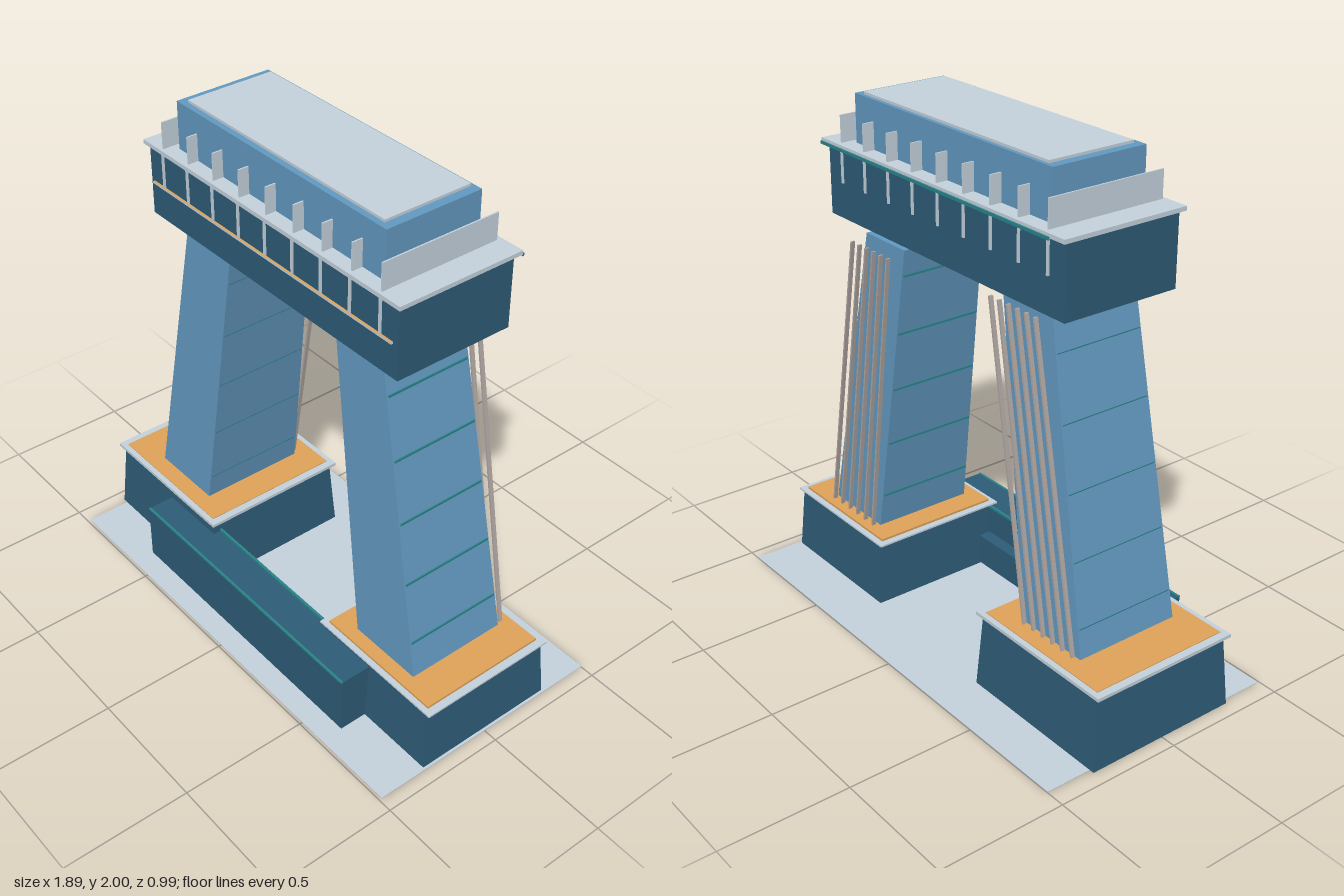
import * as THREE from 'three';

const mat = (name, color) => {
  const m = new THREE.MeshStandardMaterial({ color });
  m.name = name;
  return m;
};

export function createModel() {
  const root = new THREE.Group();
  root.name = 'twinLegTower';
  const blue = mat('steel blue', 0x649bc3);
  const dark = mat('dark slate blue', 0x2f5d78);
  const grey = mat('pale grey', 0xc7d5e0);
  const orange = mat('ochre', 0xe3a55a);
  const teal = mat('teal', 0x2a868c);
  const cableGrey = mat('cable grey', 0xb3aaa6);

  const add = (name, geo, material, parent = root) => {
    const m = new THREE.Mesh(geo, material);
    m.name = name;
    parent.add(m);
    return m;
  };

  // Solid between two level rectangles [x0, x1, z0, z1] at heights y0 and y1
  const loft = (name, y0, low, y1, high, material, parent) => {
    const geo = new THREE.BoxGeometry(1, 1, 1);
    const p = geo.attributes.position;
    for (let i = 0; i < p.count; i++) {
      const top = p.getY(i) > 0;
      const r = top ? high : low;
      p.setXYZ(i, p.getX(i) > 0 ? r[1] : r[0], top ? y1 : y0, p.getZ(i) > 0 ? r[3] : r[2]);
    }
    geo.computeVertexNormals();
    return add(name, geo, material, parent);
  };
  const box = (name, x0, x1, y0, y1, z0, z1, material, parent) =>
    loft(name, y0, [x0, x1, z0, z1], y1, [x0, x1, z0, z1], material, parent);
  const mix = (a, b, t) => a.map((v, i) => v + (b[i] - v) * t);

  // Ground plate and low front wall with a step behind it
  box('groundPlate', -0.925, 0.945, 0.002, 0.005, -0.5, 0.49, grey);
  box('frontWall', -0.595, 0.615, 0, 0.24, 0.25, 0.4, dark);
  box('frontWallStep', -0.58, 0.6, 0, 0.13, 0.2, 0.25, dark);
  box('frontWallBackTrim', -0.595, 0.615, 0.24, 0.25, 0.25, 0.26, teal);
  box('frontWallFrontTrim', -0.595, 0.615, 0.236, 0.243, 0.393, 0.402, teal);

  // Pedestal, leaning leg, seams and cables for each side
  const sides = [
    {
      name: 'right', rimY: 0.292, floorY: 0.305, floorTop: 0.308,
      foot: [-0.945, -0.298, -0.318, 0.308], head: [-0.93, -0.31, -0.295, 0.285],
      rim: [-0.95, -0.29, -0.312, 0.302], floor: [-0.92, -0.32, -0.29, 0.28],
      legLow: [-0.75, -0.44, -0.217, 0.213], legHigh: [-0.525, -0.272, -0.18, 0.18], legTop: 1.525,
      cableLow: [-0.72, -0.46], cableHigh: [-0.5, -0.267], cableTop: 1.49, seam: 0,
    },
    {
      name: 'left', rimY: 0.257, floorY: 0.264, floorTop: 0.273,
      foot: [0.35, 0.935, -0.297, 0.289], head: [0.365, 0.918, -0.28, 0.272],
      rim: [0.345, 0.94, -0.289, 0.28], floor: [0.372, 0.91, -0.265, 0.258],
      legLow: [0.47, 0.775, -0.207, 0.205], legHigh: [0.3, 0.54, -0.176, 0.176], legTop: 1.467,
      cableLow: [0.49, 0.765], cableHigh: [0.33, 0.557], cableTop: 1.44, seam: 0.004,
    },
  ];
  for (const s of sides) {
    const g = new THREE.Group();
    g.name = s.name + 'Support';
    root.add(g);
    loft('pedestal', 0.005, s.foot, s.rimY, s.head, dark, g);
    loft('pedestalRim', s.rimY, s.rim, s.floorY, s.rim, grey, g);
    loft('pedestalFloor', s.floorY, s.floor, s.floorTop, s.floor, orange, g);
    loft('leg', s.floorY, s.legLow, s.legTop, s.legHigh, blue, g);

    // Seams across the inner and outer leg faces
    for (let i = 0; i < 5; i++) {
      const y = 0.412 + i * 0.238;
      const r = mix(s.legLow, s.legHigh, (y - s.floorY) / (s.legTop - s.floorY));
      box('legSeam', r[0] - s.seam, r[1] + s.seam, y - 0.004, y + 0.004, r[2] + 0.006, r[3] - 0.006, teal, g);
    }

    // Row of cables behind the leg
    for (let i = 0; i < 6; i++) {
      const t = i / 5;
      const a = s.cableLow[0] + (s.cableLow[1] - s.cableLow[0]) * t;
      const b = s.cableHigh[0] + (s.cableHigh[1] - s.cableHigh[0]) * t;
      loft('cable', s.floorY, [a - 0.004, a + 0.004, -0.235, -0.219],
        s.cableTop, [b - 0.004, b + 0.004, -0.235, -0.219], cableGrey, g);
    }
  }

  // Bridge body, walkway slab, upper cabin and roof panel
  box('bridgeBody', -0.652, 0.675, 1.52, 1.792, -0.235, 0.24, dark);
  box('walkwaySlab', -0.672, 0.69, 1.792, 1.808, -0.258, 0.253, grey);
  box('walkwayTrim', -0.6, 0.69, 1.786, 1.797, -0.264, -0.258, teal);
  box('upperCabin', -0.535, 0.555, 1.808, 1.99, -0.195, 0.195, blue);
  box('roofPanel', -0.5, 0.52, 1.99, 2, -0.18, 0.172, grey);

  // Thin front ledge with a painted top
  box('frontLedge', -0.635, 0.65, 1.649, 1.656, 0.24, 0.249, [grey, grey, orange, orange, grey, grey]);

  // Fins on the walkway, with ribs on the body below; the end fins run full depth
  for (let i = 0; i < 9; i++) {
    const x = -0.57 + i * 0.145;
    const h = 0.003;
    if (i === 0 || i === 8) {
      box('endPanel', x - h, x + h, 1.808, 1.91, -0.238, 0.24, grey);
    } else {
      box('frontFin', x - h, x + h, 1.808, 1.91, 0.192, 0.236, grey);
      box('backFin', x - h, x + h, 1.808, 1.91, -0.24, -0.195, grey);
    }
    box('frontRib', x - 0.005, x + 0.005, 1.656, 1.792, 0.24, 0.246, grey);
    box('backRib', x - 0.005, x + 0.005, 1.656, 1.792, -0.241, -0.235, grey);
  }

  return root;
}
